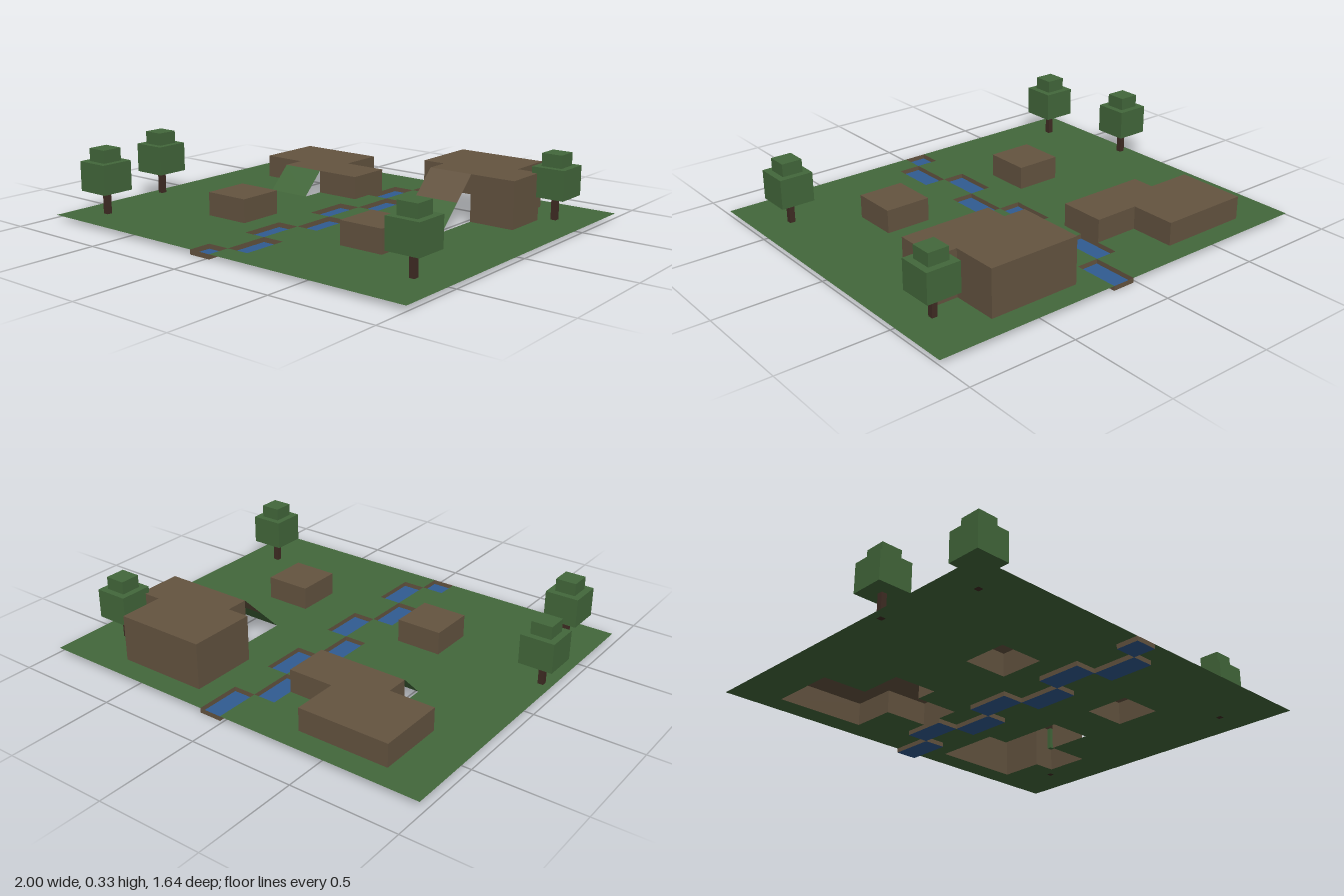
import * as THREE from 'three';

const U = 0.1094, X0 = -0.97, Z0 = -0.82, GROUND = 0.022;
const X = i => X0 + i * U;
const Z = j => Z0 + j * U;
const LEVEL = n => GROUND + n * U;

const mat = (name, color) => {
  const m = new THREE.MeshStandardMaterial({ color, side: THREE.DoubleSide });
  m.name = name;
  return m;
};

// Flat-shaded mesh from a list of quads (corners counter-clockwise from outside)
function quadMesh(name, quads, material) {
  const pos = [];
  for (const [a, b, c, d] of quads) pos.push(...a, ...b, ...c, ...a, ...c, ...d);
  const g = new THREE.BufferGeometry();
  g.setAttribute('position', new THREE.Float32BufferAttribute(pos, 3));
  g.computeVertexNormals();
  const mesh = new THREE.Mesh(g, material);
  mesh.name = name;
  return mesh;
}

// Level or sloping rectangle on the tile grid, y0 at its back edge and y1 at its front
const slab = (i0, i1, j0, j1, y0, y1 = y0) => [
  [X(i0), y0, Z(j0)], [X(i0), y1, Z(j1)], [X(i1), y1, Z(j1)], [X(i1), y0, Z(j0)],
];

// Upright wall between two grid points
const wall = ([i0, j0], [i1, j1], y0, y1) => [
  [X(i0), y0, Z(j0)], [X(i0), y1, Z(j0)], [X(i1), y1, Z(j1)], [X(i1), y0, Z(j1)],
];

const corners = ([i0, i1, j0, j1]) => [[i0, j0], [i1, j0], [i1, j1], [i0, j1]];
const loopWalls = (pts, y0, y1) => pts.map((p, k) => wall(p, pts[(k + 1) % pts.length], y0, y1));
const inside = (i, j, [i0, i1, j0, j1]) => i >= i0 && i < i1 && j >= j0 && j < j1;

export function createModel() {
  const model = new THREE.Group();
  model.name = 'riverLandscape';
  const grass = mat('grass green', 0x43683b);
  const earth = mat('earth brown', 0x645440);
  const water = mat('water blue', 0x305c92);
  const bark = mat('bark brown', 0x402c24);

  // Hollow hills: tiles [i0, i1, j0, j1], height in levels, outline and optional ramp
  const hills = [
    { name: 'lowHill', h: 1, tiles: [[2, 6, 1, 3], [2, 8, 3, 4], [4, 8, 4, 5]], ramp: [4, 6, 5],
      outline: [[4, 5], [4, 4], [2, 4], [2, 1], [6, 1], [6, 3], [8, 3], [8, 5], [6, 5]] },
    { name: 'highHill', h: 2, tiles: [[11, 15, 1, 3], [11, 16, 3, 4], [12, 16, 4, 5]], ramp: [12, 14, 5],
      outline: [[12, 5], [12, 4], [11, 4], [11, 1], [15, 1], [15, 3], [16, 3], [16, 5], [14, 5]] },
    { name: 'rightMound', h: 1, tiles: [[5, 7, 9, 11]], outline: corners([5, 7, 9, 11]) },
    { name: 'leftMound', h: 1, tiles: [[12, 14, 9, 11]], outline: corners([12, 14, 9, 11]) },
  ];
  const openings = [];
  for (const { name, h, tiles, outline, ramp } of hills) {
    const hill = new THREE.Group();
    hill.name = name;
    const walls = loopWalls(outline, GROUND, LEVEL(h));
    if (ramp) walls.pop(); // the side behind the ramp is open
    hill.add(quadMesh('hillTop', tiles.map(t => slab(...t, LEVEL(h))), earth));
    hill.add(quadMesh('hillWalls', walls, earth));
    openings.push(...tiles);
    // Ramp falls one level per tile; only the lowest step is grass
    if (ramp) {
      const [i0, i1, j0] = ramp;
      for (let k = 0; k < h; k++) {
        const strip = slab(i0, i1, j0 + k, j0 + k + 1, LEVEL(h - k), LEVEL(h - k - 1));
        hill.add(quadMesh(k === h - 1 ? 'grassRamp' : 'earthRamp', [strip], k === h - 1 ? grass : earth));
      }
      openings.push([i0, i1, j0, j0 + h]);
    }
    model.add(hill);
  }

  // River of sunken pools zigzagging from back to front
  const pools = [];
  for (let j = 0, side = 9; j < 15; j += 2, side = 17 - side) {
    pools.push([side, side + 1, j, Math.min(j + 2, 15)]);
  }
  openings.push(...pools);
  model.add(quadMesh('riverWater', pools.map(p => slab(...p, 0)), water));
  model.add(quadMesh('riverBanks', pools.flatMap(p => loopWalls(corners(p), 0, GROUND)), earth));

  // Grass sheet, open under hills, ramps and river
  const tiles = [];
  for (let i = 0; i < 18; i++) {
    for (let j = 0; j < 15; j++) {
      if (!openings.some(o => inside(i, j, o))) tiles.push(slab(i, i + 1, j, j + 1, GROUND));
    }
  }
  model.add(quadMesh('ground', tiles, grass));

  // Trees of stacked blocks: [name, width, bottom, top, material]
  const blocks = [
    ['trunk', 0.026, GROUND, 0.132, bark],
    ['lowerLeaves', 0.16, 0.132, 0.27, grass],
    ['upperLeaves', 0.098, 0.27, 0.33, grass],
  ];
  for (const [x, z] of [[-0.92, 0.217], [-0.81, 0.655], [0.834, -0.55], [0.834, 0.545]]) {
    const tree = new THREE.Group();
    tree.name = 'tree';
    for (const [name, w, y0, y1, m] of blocks) {
      const block = new THREE.Mesh(new THREE.BoxGeometry(w, y1 - y0, w), m);
      block.name = name;
      block.position.y = (y0 + y1) / 2;
      tree.add(block);
    }
    tree.position.set(x, 0, z);
    model.add(tree);
  }
  return model;
}
